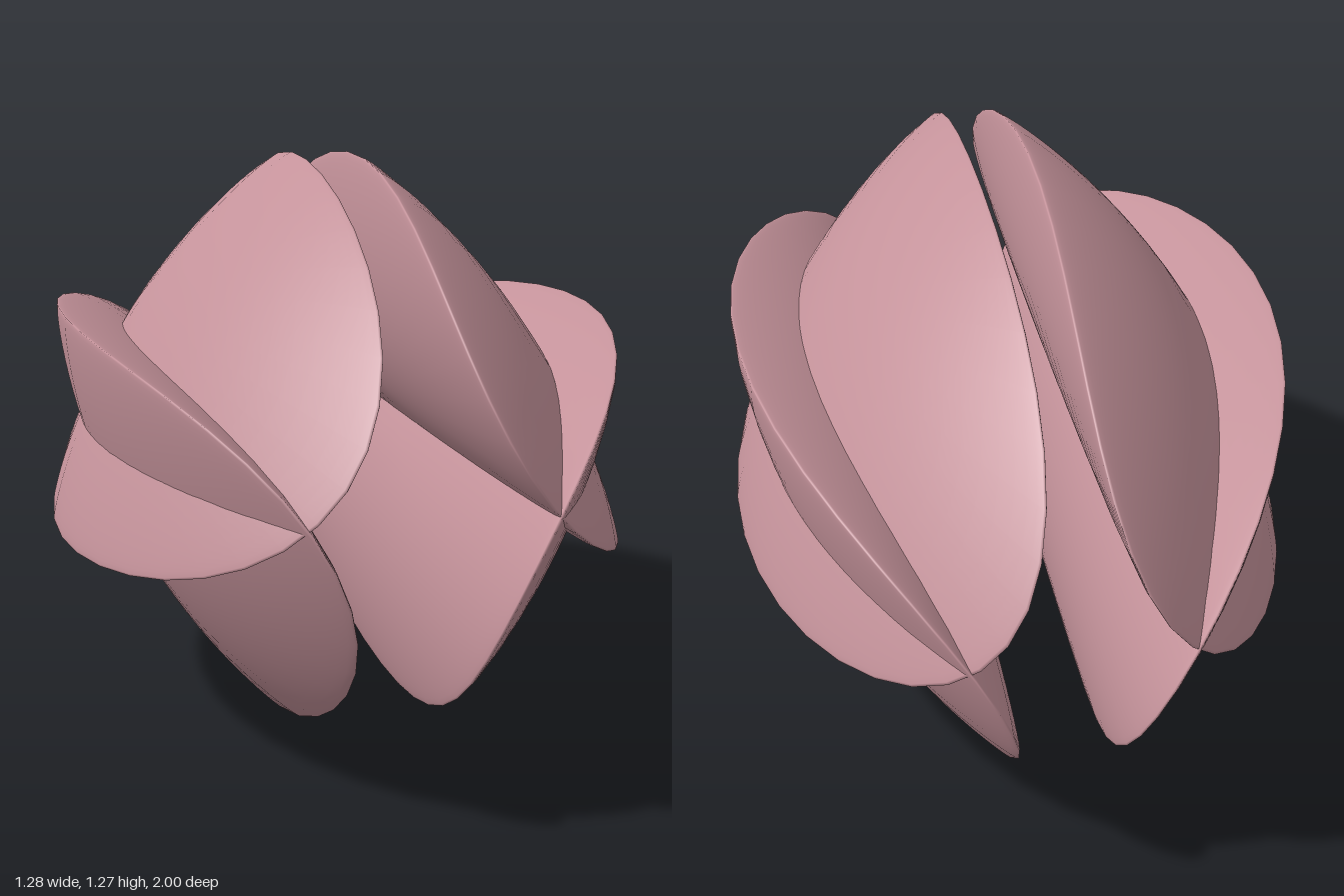
import * as THREE from 'three';
import { mergeVertices } from 'three/addons/utils/BufferGeometryUtils.js';

const material = new THREE.MeshStandardMaterial({ color: 0xc4929a });

// Solid curved petal: a sphere reshaped so its cross-section spans two tips in
// the xy plane, with a concave-following inner face and a domed outer face.
function petalGeometry(tipA, tipB, side) {
  const sphere = new THREE.SphereGeometry(1, 40, 32);
  sphere.deleteAttribute('uv');
  sphere.deleteAttribute('normal');
  const geometry = mergeVertices(sphere, 1e-4);
  const mid = tipA.clone().add(tipB).multiplyScalar(0.5);
  const half = tipA.distanceTo(tipB) / 2;
  const along = tipB.clone().sub(tipA).normalize();
  const out = new THREE.Vector2(-along.y, along.x);

  const pos = geometry.attributes.position;
  for (let i = 0; i < pos.count; i++) {
    const s = pos.getX(i), h = pos.getY(i), z = pos.getZ(i);
    // the rim bends inward towards both z ends
    let d = -0.225 * (1 - s * s) + 0.018 * h;
    if (h > 0) d += 0.305 * h * h;
    pos.setXYZ(
      i,
      mid.x + along.x * s * half + out.x * d + side * 0.01 * z,
      mid.y + along.y * s * half + out.y * d,
      z
    );
  }
  geometry.computeVertexNormals();
  return geometry;
}

export function createModel() {
  const model = new THREE.Group();
  model.name = 'petalPod';

  // Two crossing petals per side: [name, upper tip, lower tip]
  const petals = [
    ['UpperPetal', [0.065, 1.27], [0.637, 0.425]],
    ['LowerPetal', [0.612, 0.928], [0.158, 0.003]],
  ];
  for (const side of [1, -1]) {
    for (const [name, top, bottom] of petals) {
      const a = new THREE.Vector2(side * top[0], top[1]);
      const b = new THREE.Vector2(side * bottom[0], bottom[1]);
      // swap the tips on the mirrored side so the outer face stays outward
      const geometry = side > 0 ? petalGeometry(a, b, side) : petalGeometry(b, a, side);
      const mesh = new THREE.Mesh(geometry, material);
      mesh.name = (side > 0 ? 'left' : 'right') + name;
      model.add(mesh);
    }
  }
  return model;
}
